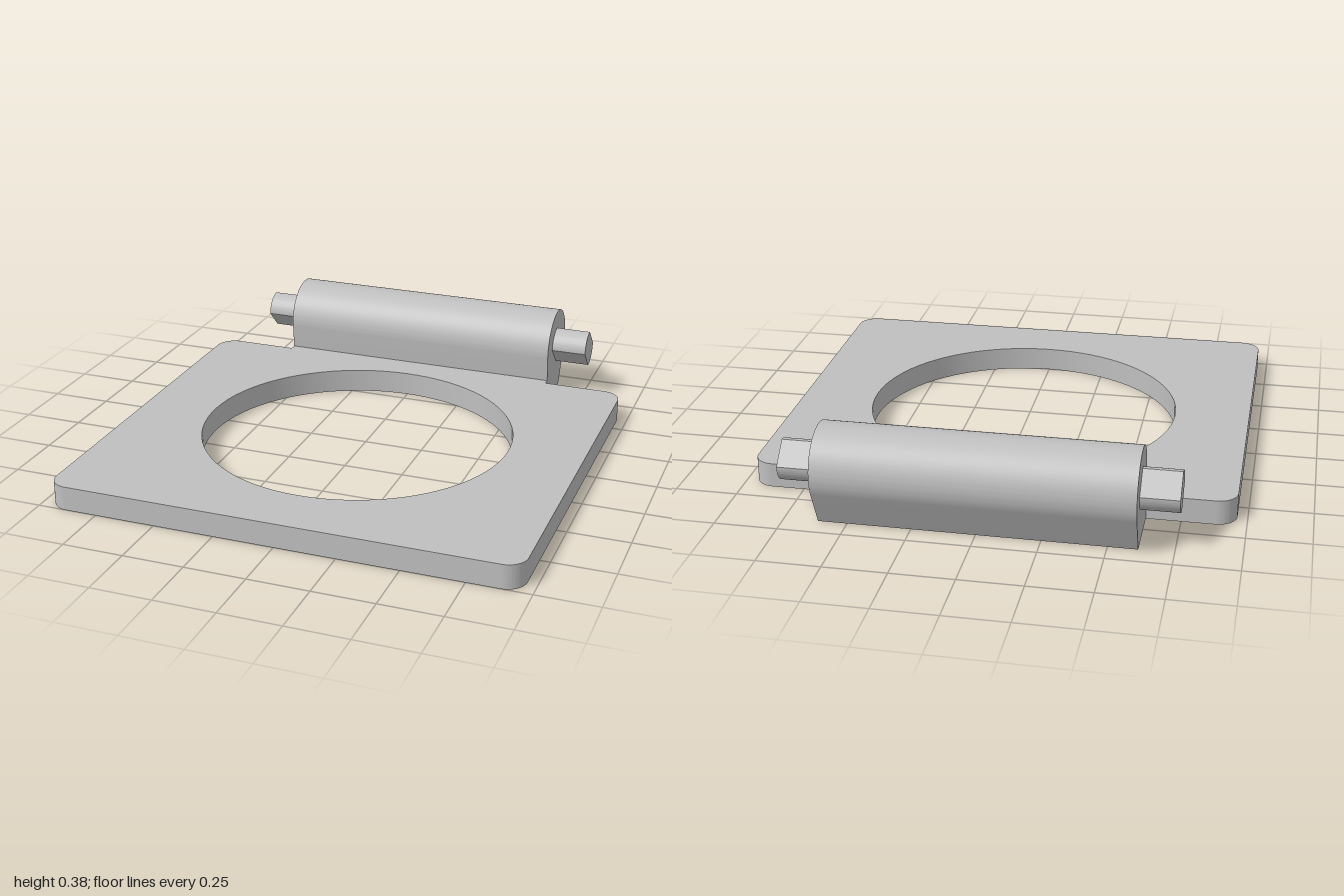
import * as THREE from 'three';
import { toCreasedNormals } from 'three/addons/utils/BufferGeometryUtils.js';

export function createModel() {
  const group = new THREE.Group();
  group.name = 'hingePlate';
  const metal = new THREE.MeshStandardMaterial({ color: 0xbfbfbf });
  metal.name = 'grey metal';

  const extrude = (shape, depth) =>
    new THREE.ExtrudeGeometry(shape, { depth, bevelEnabled: false, curveSegments: 40 });
  const add = (name, geometry) => {
    const mesh = new THREE.Mesh(toCreasedNormals(geometry, 0.5), metal);
    mesh.name = name;
    group.add(mesh);
  };
  // Profiles drawn with u = -z and v = y, extruded along x
  const addAlongX = (name, shape, from, to) =>
    add(name, extrude(shape, to - from).rotateY(Math.PI / 2).translate(from, 0, 0));

  // Base plate with rounded corners and a round opening
  const w = 0.96, front = -1, back = 0.66, r = 0.08, H = Math.PI / 2;
  const plate = new THREE.Shape();
  plate.absarc(w - r, front + r, r, -H, 0);
  plate.absarc(w - r, back - r, r, 0, H);
  plate.absarc(-w + r, back - r, r, H, 2 * H);
  plate.absarc(-w + r, front + r, r, 2 * H, 3 * H);
  plate.closePath();
  const hole = new THREE.Path();
  hole.absarc(0, -0.1, 0.65, 0, Math.PI * 2, true);
  plate.holes.push(hole);
  add('basePlate', extrude(plate, 0.1).rotateX(-H));

  // Hinge barrel, blending by tangents into its foot
  const cu = 0.84, cv = 0.22;
  const barrel = new THREE.Shape();
  barrel.moveTo(back, 0);
  barrel.lineTo(0.91, 0);
  barrel.absarc(cu, cv, 0.16, -0.458, 3.23);
  barrel.lineTo(0.69, 0.1);
  barrel.lineTo(back, 0.1);
  barrel.closePath();
  addAlongX('hingeBarrel', barrel, -0.615, 0.615);

  // Pin ends: round, with two diagonal flats
  const pin = new THREE.Shape();
  pin.absarc(cu, cv, 0.08, H, 2 * H);
  pin.absarc(cu, cv, 0.08, 3 * H, 4 * H);
  pin.closePath();
  // The arcs face up-front and down-back
  addAlongX('leftPin', pin, 0.615, 0.765);
  addAlongX('rightPin', pin, -0.765, -0.615);

  return group;
}
